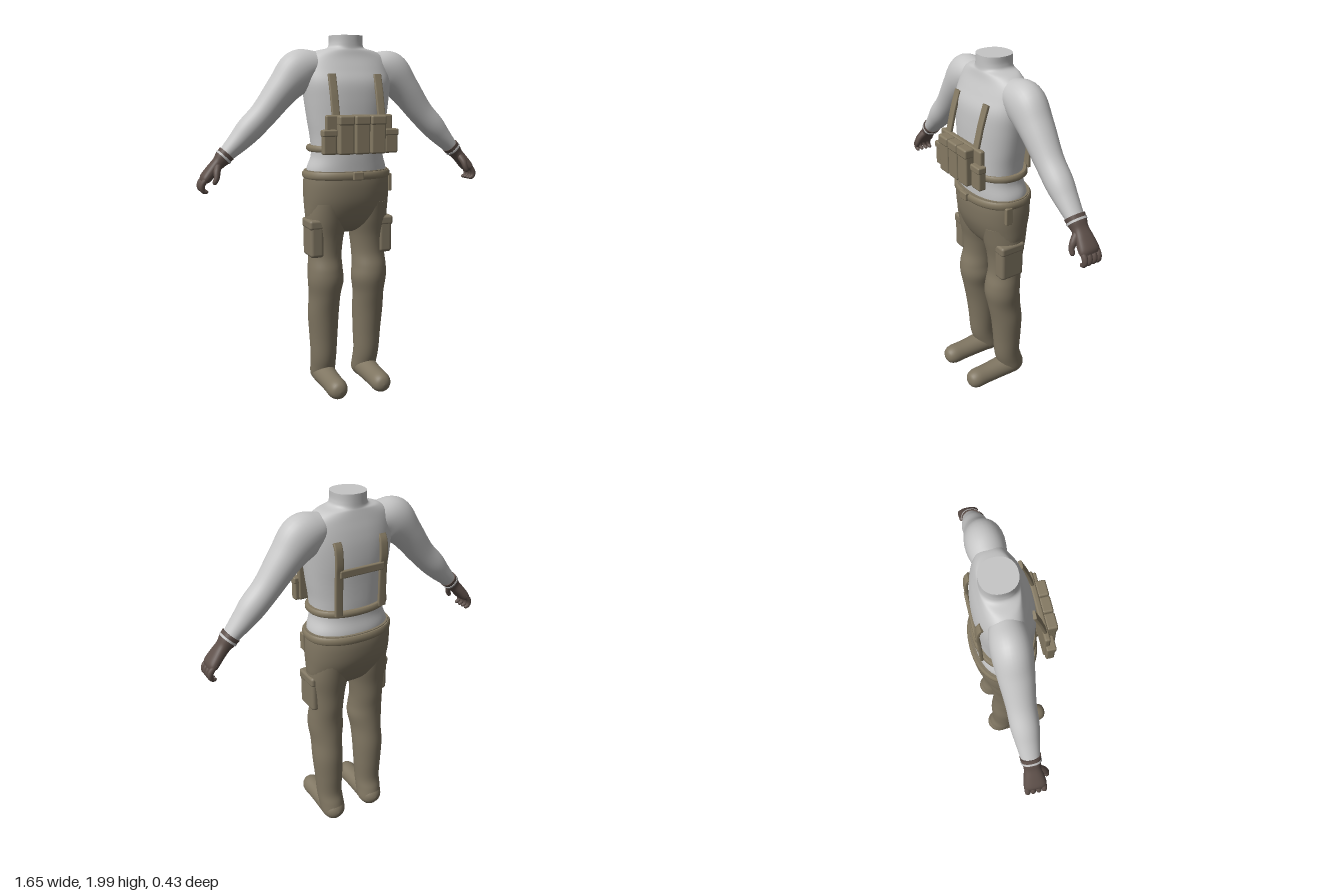
import * as THREE from 'three';
import { RoundedBoxGeometry } from 'three/addons/geometries/RoundedBoxGeometry.js';

const X = new THREE.Vector3(1, 0, 0), Y = new THREE.Vector3(0, 1, 0), Z = new THREE.Vector3(0, 0, 1);

// Smooth interpolation of one component through the rows
function cat(a, b, c, d, t) {
  return 0.5 * (2 * b + (c - a) * t + (2 * a - 5 * b + 4 * c - d) * t * t + (3 * b - a - 3 * c + d) * t * t * t);
}

// Skin of superelliptic sections; each row is [x, y, z, radius across, radius along v]
function loftGeometry(rows, { d = null, v = Z, steps = 6, n = 32, p = 2 } = {}) {
  const path = [], at = i => rows[Math.min(rows.length - 1, Math.max(0, i))];
  for (let i = 0; i < rows.length - 1; i++)
    for (let k = 0; k < steps; k++)
      path.push(rows[i].map((_, c) => cat(at(i - 1)[c], at(i)[c], at(i + 1)[c], at(i + 2)[c], k / steps)));
  path.push(rows[rows.length - 1]);
  const centres = path.map(r => new THREE.Vector3(r[0], r[1], r[2]));
  const pos = [], idx = [], last = path.length - 1;
  path.forEach((r, i) => {
    const dir = d ? d.clone() : centres[Math.min(i + 1, last)].clone().sub(centres[Math.max(i - 1, 0)]).normalize();
    const u = dir.clone().cross(v).normalize(), w = u.clone().cross(dir);
    for (let j = 0; j < n; j++) {
      const t = j / n * Math.PI * 2, c = Math.cos(t), s = Math.sin(t);
      const q = centres[i].clone()
        .addScaledVector(u, Math.sign(c) * Math.abs(c) ** (2 / p) * Math.max(r[3], 0.001))
        .addScaledVector(w, Math.sign(s) * Math.abs(s) ** (2 / p) * Math.max(r[4], 0.001));
      pos.push(q.x, q.y, q.z);
    }
  });
  for (let i = 0; i < last; i++)
    for (let j = 0; j < n; j++) {
      const a = i * n + j, b = i * n + (j + 1) % n;
      idx.push(a, a + n, b, b, a + n, b + n);
    }
  // Flat end caps with their own vertices
  for (const end of [0, last]) {
    const base = pos.length / 3;
    pos.push(...pos.slice(end * n * 3, (end + 1) * n * 3), ...centres[end].toArray());
    for (let j = 0; j < n; j++) {
      const a = base + j, b = base + (j + 1) % n;
      if (end === 0) idx.push(base + n, a, b); else idx.push(base + n, b, a);
    }
  }
  const g = new THREE.BufferGeometry();
  g.setAttribute('position', new THREE.Float32BufferAttribute(pos, 3));
  g.setIndex(idx);
  g.computeVertexNormals();
  return g;
}

export function createModel() {
  const model = new THREE.Group();
  const material = (name, color) => Object.assign(new THREE.MeshStandardMaterial({ color }), { name });
  const body = material('pale grey', 0xc6c6c6);
  const cloth = material('olive trousers', 0x807662);
  const web = material('tan webbing', 0x857a63);
  const leather = material('brown glove', 0x5e504a);

  const add = (name, geometry, mat) => {
    const m = new THREE.Mesh(geometry, mat);
    m.name = name;
    model.add(m);
    return m;
  };
  const loft = (name, rows, mat, opt) => add(name, loftGeometry(rows, opt), mat);
  const box = (name, mat, x, y, z, w, h, depth, r = 0.01) => {
    const m = add(name, new RoundedBoxGeometry(w, h, depth, 3, r), mat);
    m.position.set(x, y, z);
    return m;
  };
  // Upright sections written as [y, rx, rz, cz]
  const upright = (list, cx = 0) => list.map(([y, rx, rz, cz]) => [cx, y, cz, rx, rz]);

  // Torso and neck
  loft('torso', upright([
    [1.2, 0.22, 0.145, -0.035], [1.28, 0.228, 0.15, -0.035], [1.36, 0.204, 0.145, -0.025],
    [1.45, 0.208, 0.147, -0.025], [1.55, 0.224, 0.148, -0.027], [1.66, 0.24, 0.15, -0.03],
    [1.75, 0.25, 0.144, -0.032], [1.82, 0.245, 0.125, -0.04], [1.88, 0.225, 0.105, -0.045],
    [1.918, 0.17, 0.095, -0.045], [1.934, 0.105, 0.091, -0.045], [1.96, 0.09, 0.09, -0.045], [2, 0.09, 0.09, -0.045],
  ]), body, { d: Y, n: 48, p: 2.25 });

  // Hips
  loft('trouserHips', upright([
    [0.925, 0.13, 0.03, -0.035], [0.95, 0.19, 0.075, -0.035], [1.0, 0.235, 0.115, -0.035],
    [1.1, 0.245, 0.157, -0.038], [1.2, 0.246, 0.17, -0.038], [1.28, 0.238, 0.163, -0.036],
  ]), cloth, { d: Y, n: 48, p: 2.2 });

  // Belt and chest band, each a short disc with bevelled rim
  const band = (name, y, h, rx, rz, cz) => loft(name, upright([
    [y - h / 2, rx - 0.008, rz - 0.008, cz], [y - h / 4, rx, rz, cz], [y + h / 4, rx, rz, cz], [y + h / 2, rx - 0.008, rz - 0.008, cz],
  ]), web, { d: Y, steps: 1, n: 48, p: 2.2 });
  band('belt', 1.255, 0.042, 0.25, 0.178, -0.036);
  band('chestBand', 1.4, 0.034, 0.228, 0.164, -0.03);
  box('beltBuckle', web, 0, 1.257, 0.143, 0.06, 0.045, 0.022, 0.006);
  box('beltTab', web, 0.237, 1.2, 0.02, 0.022, 0.1, 0.04, 0.006);

  // Parts that repeat on both sides
  for (const s of [1, -1]) {
    const side = s > 0 ? 'left' : 'right';

    // Leg and foot
    loft(side + 'TrouserLeg', [
      [0.02, 0.13, -0.1, 0.045, 0.045], [0.06, 0.13, -0.095, 0.07, 0.072], [0.13, 0.133, -0.075, 0.073, 0.08],
      [0.2, 0.135, -0.058, 0.075, 0.078], [0.32, 0.136, -0.055, 0.082, 0.084], [0.45, 0.138, -0.048, 0.089, 0.092],
      [0.56, 0.135, -0.032, 0.09, 0.097], [0.65, 0.132, -0.02, 0.102, 0.102], [0.72, 0.134, -0.022, 0.099, 0.1],
      [0.8, 0.132, -0.035, 0.096, 0.095], [0.9, 0.128, -0.037, 0.104, 0.1], [1.0, 0.122, -0.036, 0.119, 0.118],
      [1.1, 0.12, -0.036, 0.115, 0.135],
    ].map(([y, cx, cz, rx, rz]) => [s * cx, y, cz, rx, rz]), cloth, { d: Y });
    loft(side + 'Foot', [
      [-0.172, 0.076, 0.002], [-0.164, 0.076, 0.03], [-0.14, 0.076, 0.056], [-0.09, 0.076, 0.068], [0, 0.07, 0.062],
      [0.1, 0.067, 0.058], [0.165, 0.066, 0.058], [0.2, 0.066, 0.045], [0.214, 0.066, 0.025], [0.219, 0.066, 0.002],
    ].map(([z, y, r]) => [s * 0.132, y, z, r, r]), cloth, { d: Z, v: X, steps: 3 });

    // Cargo pocket
    box(side + 'CargoPocket', cloth, s * 0.205, 0.905, -0.012, 0.08, 0.21, 0.145, 0.02);
    box(side + 'PocketFlap', cloth, s * 0.208, 0.985, -0.012, 0.082, 0.055, 0.15, 0.015);

    // Arm
    loft(side + 'Arm', [
      [0.12, 1.83, 0.06, 0.06], [0.18, 1.835, 0.085, 0.085], [0.265, 1.808, 0.115, 0.096], [0.355, 1.72, 0.09, 0.088],
      [0.46, 1.593, 0.073, 0.073], [0.545, 1.507, 0.069, 0.07], [0.6, 1.45, 0.058, 0.061], [0.66, 1.392, 0.044, 0.05],
      [0.71, 1.342, 0.034, 0.04],
    ].map(([x, y, a, b]) => [s * x, y, -0.05, a, b]), body);

    // Glove: cuff, palm, curled fingers and thumb
    loft(side + 'Glove', [
      [0.668, 1.386, 0.046, 0.052], [0.69, 1.363, 0.043, 0.048], [0.715, 1.336, 0.034, 0.042],
      [0.75, 1.3, 0.031, 0.05], [0.785, 1.26, 0.028, 0.057], [0.8, 1.242, 0.015, 0.05],
    ].map(([x, y, a, b]) => [s * x, y, -0.05, a, b]), leather, { p: 2.4 });
    loft(side + 'CuffTrim', [[0.682, 1.371, 0.047, 0.052], [0.69, 1.363, 0.046, 0.051]]
      .map(([x, y, a, b]) => [s * x, y, -0.05, a, b]), body, { steps: 1, p: 2.4 });
    const digit = (name, pts) => loft(name,
      pts.map(([x, y, z, r]) => [s * x, y, z, r, r]), leather, { steps: 3, n: 12 });
    [-0.093, -0.066, -0.037, -0.009].forEach((z, i) => digit(side + 'Finger' + (i + 1), [
      [0.775, 1.27, z, 0.014], [0.803, 1.24, z, 0.015], [0.811, 1.215, z, 0.014],
      [0.803, 1.197, z, 0.012], [0.788, 1.193, z, 0.01], [0.78, 1.196, z, 0.003],
    ]));
    digit(side + 'Thumb', [
      [0.722, 1.325, -0.025, 0.02], [0.733, 1.295, 0.002, 0.019], [0.738, 1.265, 0.016, 0.015],
      [0.75, 1.24, 0.017, 0.012], [0.755, 1.233, 0.017, 0.003],
    ]);

    // Shoulder straps, front and back
    const strap = (name, pts) => loft(name, pts.map(([y, z]) => [s * 0.13, y, z, 0.022, 0.009]), web, { p: 5, n: 24 });
    strap(side + 'FrontStrap', [[1.795, 0.088], [1.7, 0.118], [1.64, 0.133], [1.57, 0.15]]);
    strap(side + 'BackStrap', [[1.785, -0.155], [1.75, -0.173], [1.68, -0.18], [1.6, -0.175], [1.4, -0.172]]);

    // Small side pouch
    box(side + 'SidePouch', web, s * 0.175, 1.445, 0.165, 0.075, 0.13, 0.045);
    box(side + 'SidePouchFlap', web, s * 0.175, 1.492, 0.167, 0.08, 0.036, 0.05, 0.008);
  }

  // Back crossbar and chest panel
  box('backCrossbar', web, 0, 1.627, -0.183, 0.26, 0.042, 0.018, 0.007);
  box('chestPanel', web, 0, 1.482, 0.15, 0.38, 0.205, 0.03);

  // Main pouches with flaps
  for (const i of [-1, 0, 1]) {
    box('mainPouch', web, i * 0.09, 1.475, 0.187, 0.083, 0.19, 0.05);
    box('mainPouchFlap', web, i * 0.09, 1.557, 0.189, 0.086, 0.05, 0.056);
  }
  return model;
}
